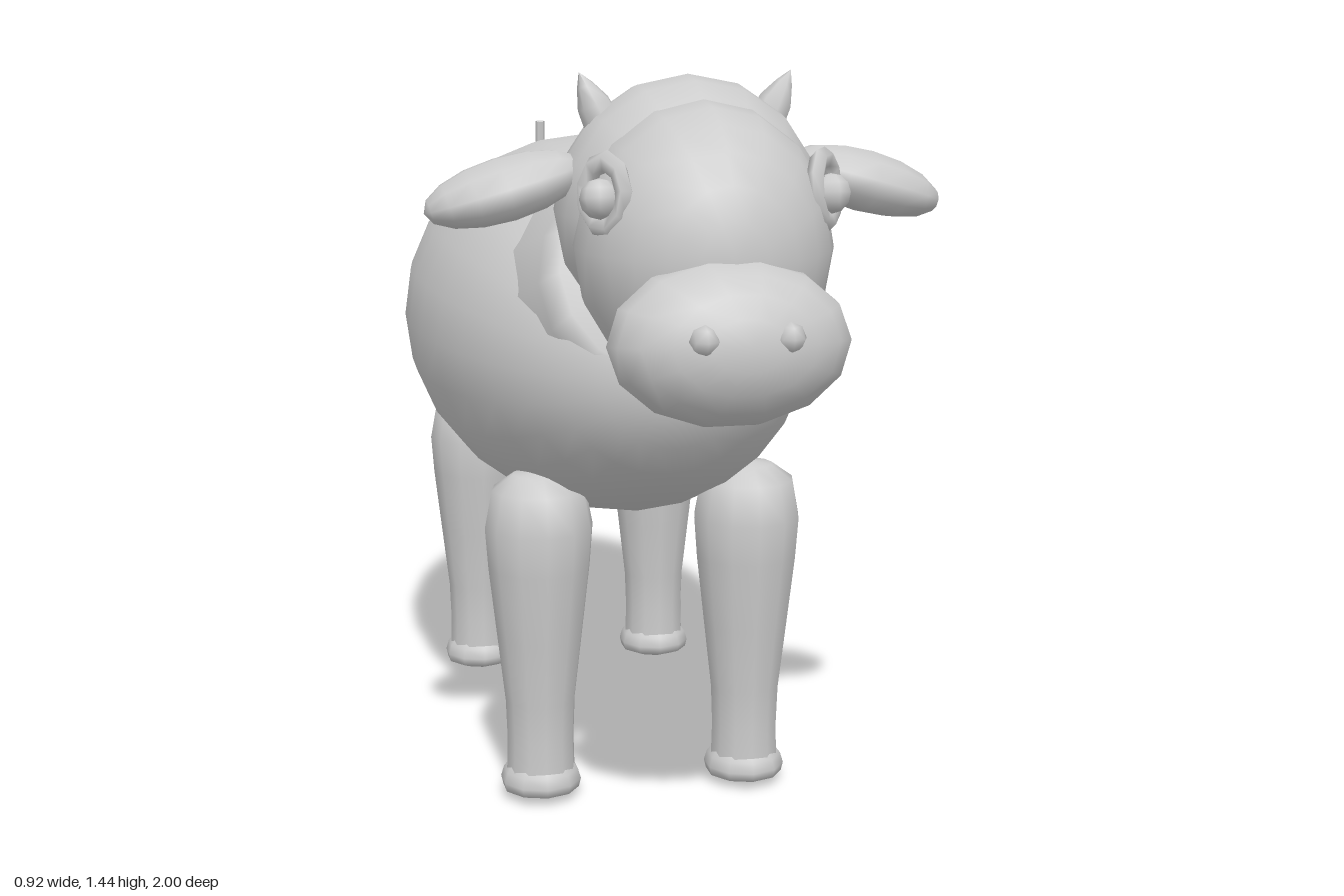
import * as THREE from 'three';

const hide = new THREE.MeshStandardMaterial({ color: 0xcccccc });
hide.name = 'light grey';

export function createModel() {
  const cow = new THREE.Group();
  cow.name = 'cow';

  const add = (name, geometry, position = [0, 0, 0], rotation = [0, 0, 0], parent = cow) => {
    const mesh = new THREE.Mesh(geometry, hide);
    mesh.name = name;
    mesh.position.set(...position);
    mesh.rotation.set(...rotation);
    parent.add(mesh);
    return mesh;
  };
  // Ellipsoid with its poles along z
  const ellipsoid = (rx, ry, rz, around = 16, along = 12) =>
    new THREE.SphereGeometry(1, around, along).rotateX(Math.PI / 2).scale(rx, ry, rz);
  const lathe = (points, sides) =>
    new THREE.LatheGeometry(points.map(([r, y]) => new THREE.Vector2(r, y)), sides);

  // Barrel body
  add('body', ellipsoid(0.4, 0.378, 0.735, 24, 18), [-0.005, 0.887, -0.2]);

  // Neck, rising forward out of the shoulders
  add('neck', lathe([[0.31, -0.2], [0.3, -0.08], [0.265, 0.06], [0.235, 0.15], [0.205, 0.21], [0, 0.23]], 16),
    [0, 0.985, 0.235], [1.12, 0, 0]);

  // Head: skull, face and broad muzzle
  add('skull', ellipsoid(0.235, 0.235, 0.215), [0, 1.2, 0.545]);
  add('face', ellipsoid(0.222, 0.247, 0.232), [0, 1.152, 0.658]);
  add('muzzle', ellipsoid(0.205, 0.14, 0.135, 14, 10), [-0.005, 1.02, 0.86], [-0.12, 0, 0]);

  for (const side of [-1, 1]) {
    const label = side > 0 ? 'left' : 'right';

    // Nostril
    add(label + 'Nostril', new THREE.OctahedronGeometry(0.026, 1), [side * 0.07 - 0.005, 1.045, 0.975]);

    // Drooping leaf-shaped ear, widest towards the outer half
    const ear = new THREE.SphereGeometry(1, 10, 8).rotateZ(Math.PI / 2).scale(0.145, 0.055, 0.09);
    add(label + 'Ear', ear, [side * 0.322, 1.243, 0.545], [0.1, 0, -side * 0.28]);

    // Short horn leaning outwards
    add(label + 'Horn', lathe([[0.034, -0.04], [0.03, 0], [0.015, 0.035], [0, 0.06]], 7),
      [side * 0.163, 1.385, 0.53], [0, 0, -side * 0.45]);

    // Eyeball framed by a heavy lid
    const eye = new THREE.Group();
    eye.name = label + 'Eye';
    eye.position.set(side * 0.188, 1.245, 0.745);
    eye.rotation.set(-0.2, side * 0.95, 0);
    cow.add(eye);
    add('eyeball', new THREE.SphereGeometry(0.034, 8, 6), [0, 0, 0.012], [0, 0, 0], eye);
    add('eyelid', new THREE.TorusGeometry(0.045, 0.016, 5, 9).scale(1, 1.2, 1), [0, 0.008, 0], [0, 0, 0], eye);

    // Tapered legs with flared hooves
    for (const [place, z] of [['Front', 0.205], ['Hind', -0.615]]) {
      const leg = lathe([[0.068, 0.05], [0.066, 0.12], [0.069, 0.2], [0.084, 0.33],
        [0.1, 0.47], [0.106, 0.55], [0.092, 0.625], [0.05, 0.655], [0, 0.663]], 12);
      add(label + place + 'Leg', leg, [side * 0.208, 0, z]);
      const hoof = lathe([[0, 0], [0.045, 0.006], [0.076, 0.018], [0.08, 0.035], [0.074, 0.055], [0.064, 0.068]], 10);
      add(label + place + 'Hoof', hoof, [side * 0.208, 0, z]);
    }

    // Teats
    for (const z of [-0.41, -0.5]) {
      add(label + 'Teat', lathe([[0, -0.03], [0.011, -0.025], [0.014, 0], [0.018, 0.035]], 7),
        [side * 0.052, 0.48, z]);
    }
  }

  // Udder
  add('udder', ellipsoid(0.11, 0.06, 0.115, 12, 8), [0, 0.53, -0.455]);

  // Thin hanging tail with a tuft at the end
  const tailPath = new THREE.CatmullRomCurve3([[1.24, -0.907], [1.05, -0.914], [0.88, -0.93], [0.74, -0.942], [0.56, -0.95]]
    .map(([y, z]) => new THREE.Vector3(-0.005, y, z)));
  add('tail', new THREE.TubeGeometry(tailPath, 12, 0.011, 6));
  add('tailTip', new THREE.CircleGeometry(0.011, 6), [-0.005, 1.24, -0.907], [-Math.PI / 2, 0, 0]);
  add('tailTuft', lathe([[0, -0.09], [0.022, -0.06], [0.047, -0.01], [0.044, 0.015], [0.014, 0.075], [0, 0.08]], 8),
    [-0.005, 0.53, -0.953]);

  return cow;
}
